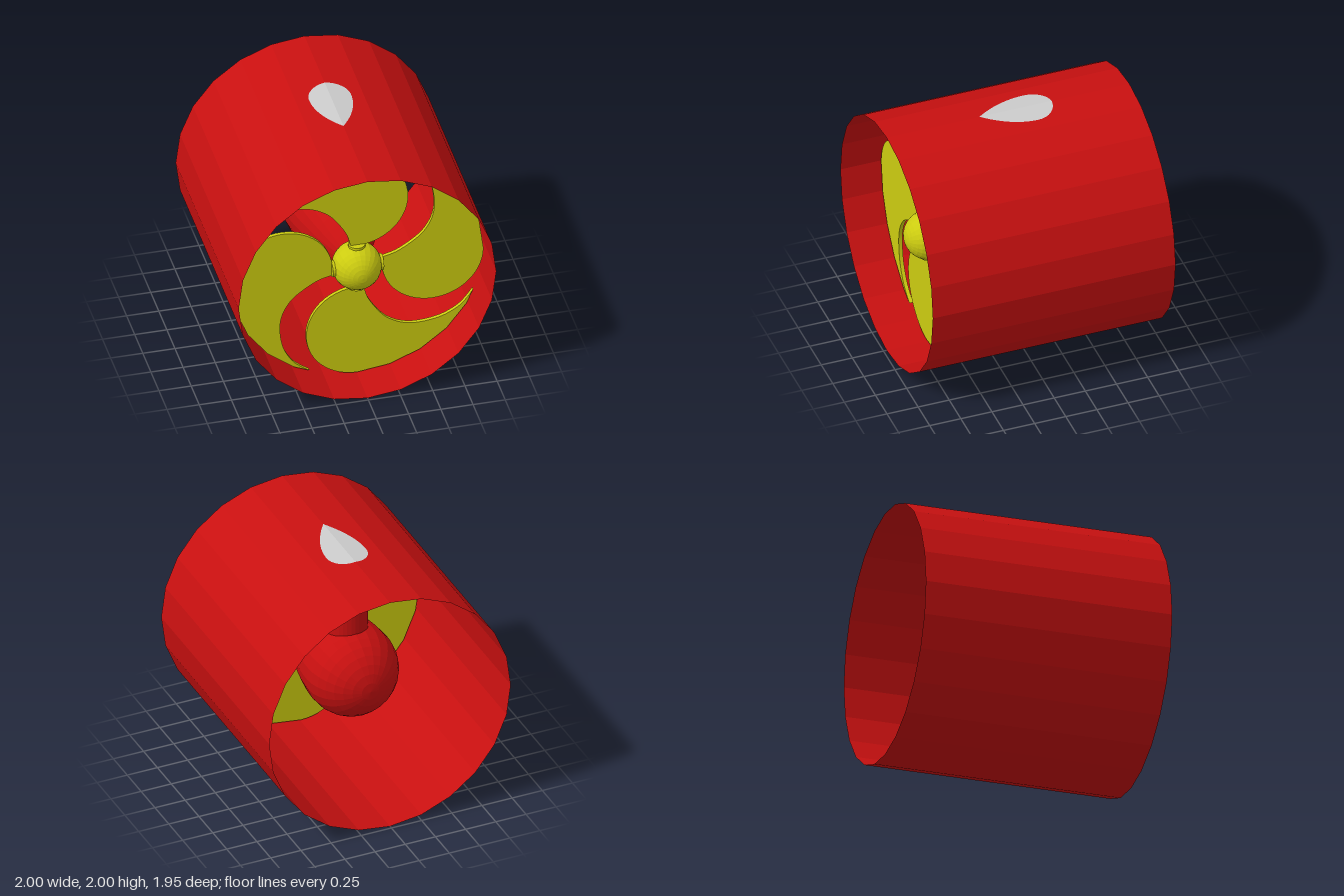
import * as THREE from 'three';

const mat = (color, side = THREE.FrontSide) =>
  new THREE.MeshStandardMaterial({ color, flatShading: true, side });
const RED = 0xc81010, YELLOW = 0xcccc10;
const HALF_LENGTH = 0.975, AXIS_Y = 1, ROTOR_Z = 0.64;
const ROOF_SLOPE = Math.tan(Math.PI / 24); // fall of the top facets of a 24-sided duct

// Half outline of a teardrop, [width, z] from the round back to the pointed front
function teardrop(radius, zBack, zTip) {
  const points = [], zWide = zBack + radius;
  for (let i = 0; i <= 8; i++) {
    const a = (i / 8) * Math.PI / 2;
    points.push([radius * Math.sin(a), zWide - radius * Math.cos(a)]);
  }
  for (let i = 1; i <= 12; i++) {
    const t = i / 12;
    points.push([radius * (1 - t * t), zWide + t * (zTip - zWide)]);
  }
  return points;
}

function named(name, geometry, material) {
  const mesh = new THREE.Mesh(geometry, material);
  mesh.name = name;
  return mesh;
}

// One crescent blade pointing up, measured from the hub centre
function bladeGeometry() {
  const shape = new THREE.Shape();
  shape.moveTo(-0.05, 0.19);
  shape.lineTo(0, 0.19);
  shape.absarc(0, 0.585, 0.395, -Math.PI / 2, Math.PI / 2, false);
  for (let i = 1; i <= 4; i++) {
    const a = Math.PI / 2 + i * Math.PI / 12;
    shape.lineTo(0.98 * Math.cos(a), 0.98 * Math.sin(a));
  }
  shape.lineTo(-0.9, 0.37);
  shape.splineThru([
    [-0.85, 0.44], [-0.78, 0.51], [-0.65, 0.575], [-0.48, 0.6], [-0.35, 0.58],
    [-0.24, 0.52], [-0.165, 0.44], [-0.085, 0.31], [-0.05, 0.19],
  ].map(([x, y]) => new THREE.Vector2(x, y)));
  return new THREE.ExtrudeGeometry(shape, { depth: 0.03, bevelEnabled: false, curveSegments: 14 })
    .translate(0, 0, -0.015);
}

export function createModel() {
  const model = new THREE.Group();
  model.name = 'ductedPropeller';

  // Thin open duct
  const duct = new THREE.CylinderGeometry(1, 1, 2 * HALF_LENGTH, 24, 1, true)
    .rotateX(Math.PI / 2).translate(0, AXIS_Y, 0);
  model.add(named('duct', duct, mat(RED, THREE.DoubleSide)));

  // Streamlined motor body, round at the back
  const profile = teardrop(0.365, -0.63, 0.67).map(([r, z]) => new THREE.Vector2(r, z));
  const body = new THREE.LatheGeometry(profile, 24).rotateX(Math.PI / 2).translate(0, AXIS_Y, 0);
  model.add(named('motorBody', body, mat(RED, THREE.DoubleSide)));

  // Strut from the body up to the duct, its top following the duct facets
  const half = teardrop(0.163, -0.35, 0.23);
  const outline = [
    ...half.map(([x, z]) => new THREE.Vector2(x, -z)),
    ...half.slice(1, -1).reverse().map(([x, z]) => new THREE.Vector2(-x, -z)),
  ];
  const strut = new THREE.ExtrudeGeometry(new THREE.Shape(outline), { depth: 0.846, bevelEnabled: false })
    .rotateX(-Math.PI / 2).translate(0, 1.15, 0);
  const p = strut.attributes.position;
  for (let i = 0; i < p.count; i++) {
    if (p.getY(i) > 1.5) p.setY(i, p.getY(i) - ROOF_SLOPE * Math.abs(p.getX(i)));
  }
  model.add(named('strut', strut, mat(RED)));

  // Grey strut end showing on the duct, one flat half on each top facet
  const strutEnd = new THREE.Group();
  strutEnd.name = 'strutEnd';
  for (const side of [1, -1]) {
    const shape = new THREE.Shape(half.map(([x, z]) => new THREE.Vector2(side * x, -z)));
    const cap = new THREE.ShapeGeometry(shape).rotateX(-Math.PI / 2);
    const q = cap.attributes.position;
    for (let i = 0; i < q.count; i++) q.setY(i, 2.002 - ROOF_SLOPE * Math.abs(q.getX(i)));
    cap.computeVertexNormals();
    strutEnd.add(named('strutEndHalf', cap, mat(0xcccccc)));
  }
  model.add(strutEnd);

  // Propeller: ball hub, four blades and their root pegs
  const propeller = new THREE.Group();
  propeller.name = 'propeller';
  propeller.position.set(0, AXIS_Y, ROTOR_Z);
  const yellow = mat(YELLOW);
  propeller.add(named('hub', new THREE.SphereGeometry(0.19, 24, 16).rotateX(Math.PI / 2), yellow));
  const blade = bladeGeometry();
  const peg = new THREE.CylinderGeometry(0.065, 0.065, 0.08, 16).translate(0, 0.158, 0);
  for (let i = 0; i < 4; i++) {
    const arm = new THREE.Group();
    arm.name = 'bladeArm';
    arm.rotation.z = i * Math.PI / 2;
    arm.add(named('blade', blade, yellow), named('bladeRoot', peg, yellow));
    propeller.add(arm);
  }
  model.add(propeller);
  return model;
}
